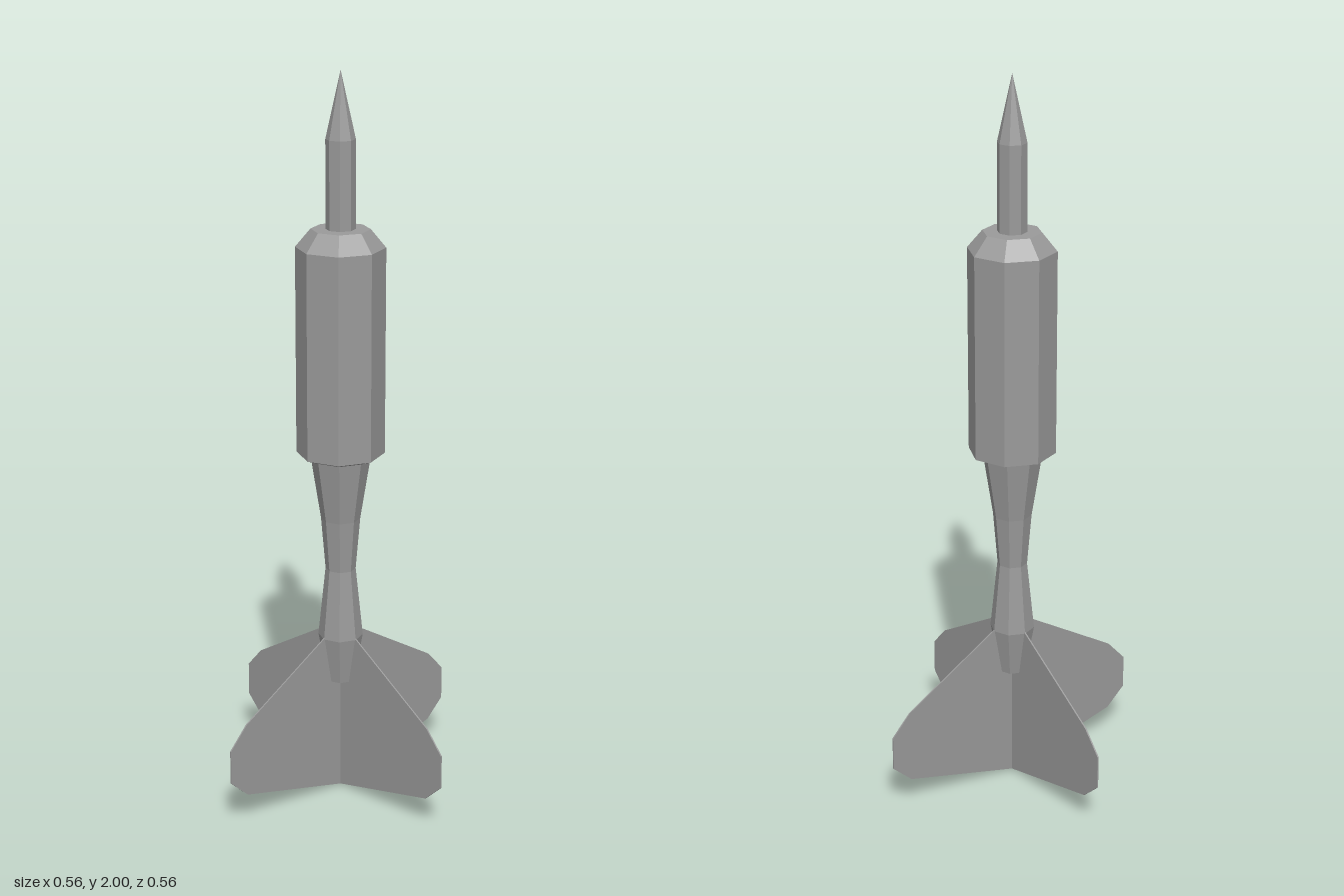
import * as THREE from 'three';

const material = new THREE.MeshStandardMaterial({ color: 0x9a9a9a, flatShading: true });

// Eight-sided turned part from [radius, height] pairs, listed bottom to top
function turned(name, profile) {
  const points = profile.map(([r, y]) => new THREE.Vector2(r, y));
  const mesh = new THREE.Mesh(new THREE.LatheGeometry(points, 8), material);
  mesh.name = name;
  return mesh;
}

export function createModel() {
  const group = new THREE.Group();
  group.name = 'dart';

  // Pinched shaft holding the fins
  group.add(turned('shaft', [
    [0, 0.327], [0.037, 0.327], [0.061, 0.46], [0.041, 0.655], [0.053, 0.8], [0.08, 0.972],
  ]));

  // Heavy barrel with chamfered ends
  group.add(turned('barrel', [
    [0, 0.972], [0.08, 0.972], [0.118, 0.987], [0.118, 1.545], [0.078, 1.593], [0, 1.593],
  ]));

  // Steel point
  group.add(turned('point', [[0.039, 1.593], [0.039, 1.825], [0, 2]]));

  // Four thin fins on the diagonals
  const outline = [
    [0, 0], [0.34, 0.088], [0.396, 0.14], [0.396, 0.235], [0.34, 0.296], [0.07, 0.458], [0, 0.5],
  ];
  const shape = new THREE.Shape(outline.map(([x, y]) => new THREE.Vector2(x, y)));
  const thickness = 0.004;
  const finGeometry = new THREE.ExtrudeGeometry(shape, { depth: thickness, bevelEnabled: false });
  finGeometry.translate(0, 0, -thickness / 2);
  for (let i = 0; i < 4; i++) {
    const fin = new THREE.Mesh(finGeometry, material);
    fin.name = `fin${i + 1}`;
    fin.rotation.y = Math.PI / 4 + i * Math.PI / 2;
    group.add(fin);
  }

  return group;
}
